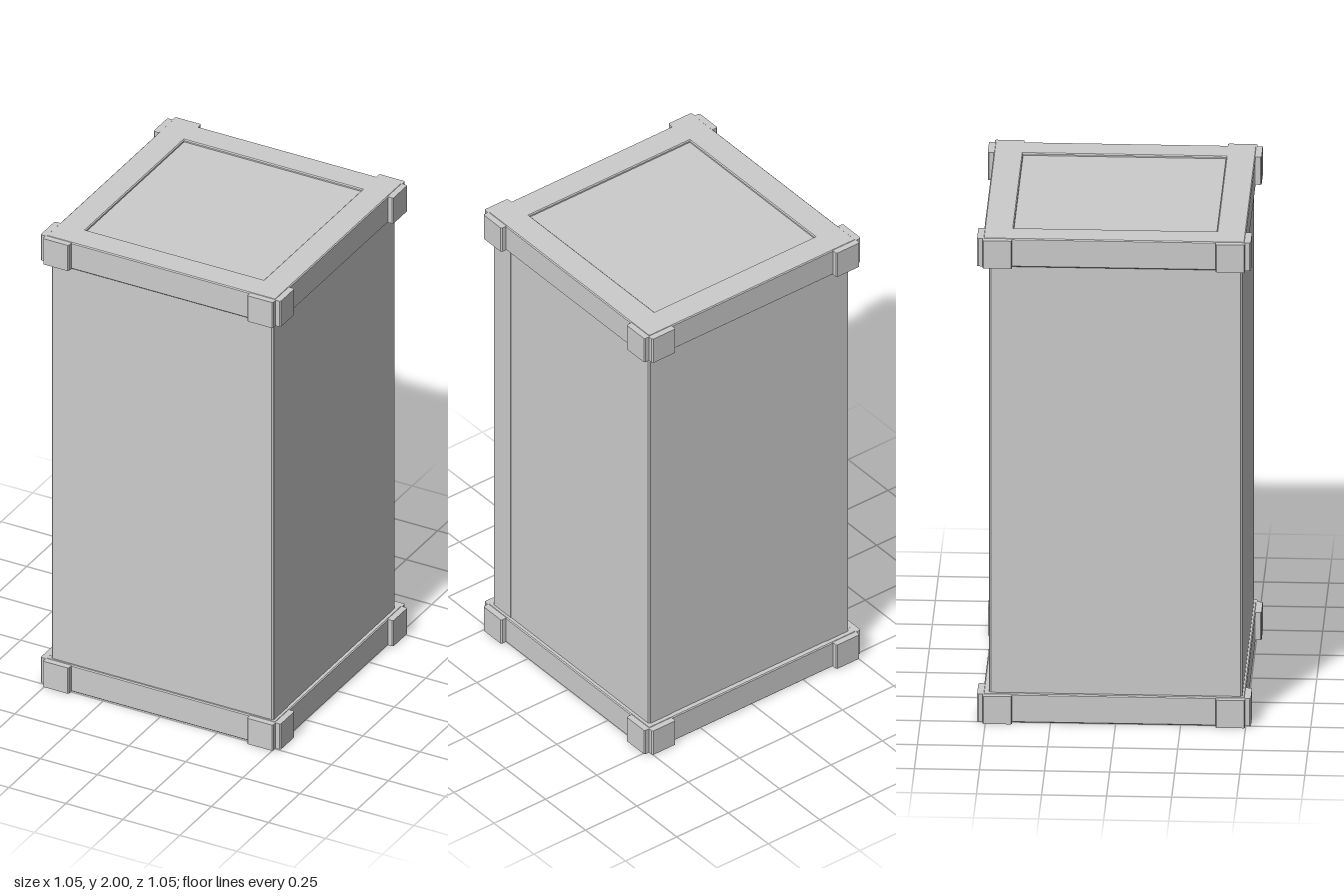
import * as THREE from 'three';

const material = new THREE.MeshStandardMaterial({ color: 0xcccccc });
const H = 0.117;      // cap height
const CAP = 0.503;    // cap half width
const BODY = 0.486;   // body half width
const ZC = -0.006;    // caps sit slightly towards the back

function add(parent, name, geometry, x = 0, y = 0, z = 0) {
  const mesh = new THREE.Mesh(geometry, material);
  mesh.name = name;
  mesh.position.set(x, y, z);
  parent.add(mesh);
  return mesh;
}

function square(Path, h) {
  const p = new Path();
  p.moveTo(-h, -h);
  p.lineTo(h, -h);
  p.lineTo(h, h);
  p.lineTo(-h, h);
  p.closePath();
  return p;
}

// Bevelled square frame around a slightly sunken panel, with corner clamps; its face is at y = H
function createCap(name) {
  const cap = new THREE.Group();
  cap.name = name;

  const b = 0.004;
  const shape = square(THREE.Shape, CAP);
  shape.holes.push(square(THREE.Path, 0.39));
  const frame = new THREE.ExtrudeGeometry(shape, {
    depth: H - 2 * b, bevelThickness: b, bevelSize: b, bevelOffset: -b, bevelSegments: 1,
  });
  frame.rotateX(-Math.PI / 2);
  add(cap, 'capFrame', frame, 0, b, 0);
  add(cap, 'capPanel', new THREE.BoxGeometry(0.8, H - 0.012, 0.8), 0, (H - 0.008) / 2, 0);

  // Two tapered plates on each of the four sides
  const plate = new THREE.Shape();
  plate.moveTo(0.391, -0.02);
  plate.lineTo(0.391, 0.018);
  plate.lineTo(0.395, 0.023);
  plate.lineTo(0.500, 0.023);
  plate.lineTo(0.504, 0.018);
  plate.lineTo(0.504, -0.02);
  const mirrored = new THREE.Shape(plate.getPoints().map((p) => new THREE.Vector2(-p.x, p.y)));
  for (let side = 0; side < 4; side++) {
    const clamps = new THREE.Group();
    clamps.name = 'cornerClamps';
    clamps.rotation.y = side * Math.PI / 2;
    for (const outline of [plate, mirrored]) {
      const g = new THREE.ExtrudeGeometry(outline, { depth: H - 0.003, bevelEnabled: false });
      g.rotateX(Math.PI / 2);
      add(clamps, 'clampPlate', g, 0, H - 0.0015, CAP);
    }
    cap.add(clamps);
  }
  return cap;
}

export function createModel() {
  const model = new THREE.Group();
  model.name = 'pillarCrate';

  // Body with narrow chamfers on the upright edges
  const c = 0.006;
  const outline = new THREE.Shape();
  [[1, -1], [1, 1], [-1, 1], [-1, -1]].forEach(([sx, sy], i) => {
    const ends = [[sx * BODY, sy * (BODY - c)], [sx * (BODY - c), sy * BODY]];
    if (i % 2 === 0) ends.reverse();
    ends.forEach(([x, y], j) => (i + j === 0 ? outline.moveTo(x, y) : outline.lineTo(x, y)));
  });
  outline.closePath();
  const body = new THREE.ExtrudeGeometry(outline, { depth: 1.8, bevelEnabled: false });
  body.rotateX(-Math.PI / 2);
  add(model, 'body', body, 0, 0.1, 0);

  // Thin upright trim on the back and on the front edge of the left side
  const strip = new THREE.BoxGeometry(0.105, 1.78, 0.004);
  for (const s of [-1, 1]) add(model, 'backTrim', strip, s * 0.4275, 1, -BODY);
  add(model, 'sideTrim', strip, BODY, 1, 0.4275).rotation.y = Math.PI / 2;

  // Caps: the lower one is the upper one turned over
  const top = createCap('topCap');
  top.position.set(0, 2 - H, ZC);
  const bottom = createCap('bottomCap');
  bottom.rotation.x = Math.PI;
  bottom.position.set(0, H + 0.002, ZC);
  model.add(top, bottom);
  return model;
}
